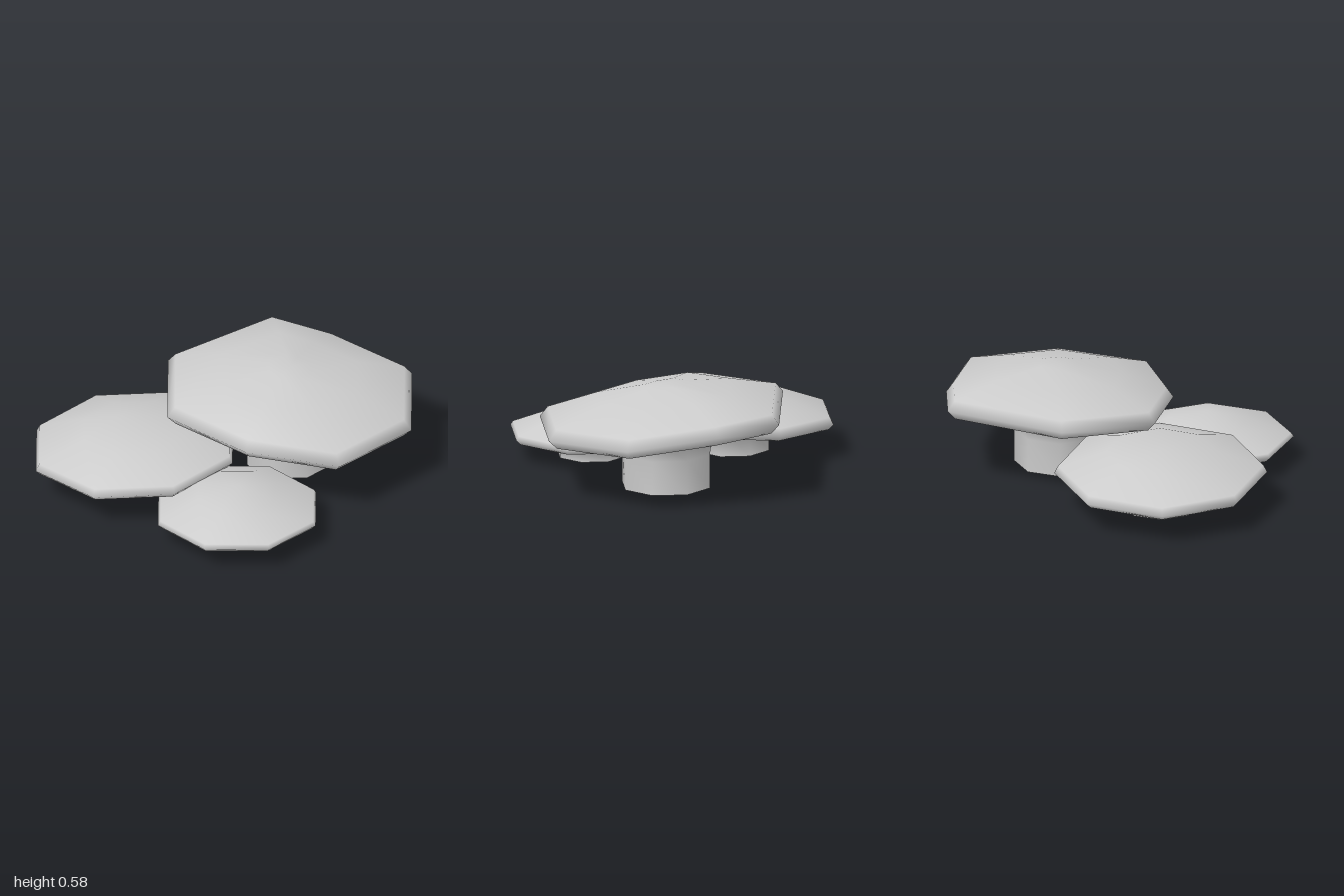
import * as THREE from 'three';
import { mergeVertices } from 'three/addons/utils/BufferGeometryUtils.js';

// Eight-sided mushroom: hollow stem, underside, rim and cap in one lathed skin.
// Points run bottom to top; rings from index capStart on lean by tiltX / tiltZ.
function mushroom(name, x, z, points, { capStart, tiltX = 0, tiltZ = 0, bend }) {
  const profile = points.map(([r, y]) => new THREE.Vector2(r, y));
  const lathe = new THREE.LatheGeometry(profile, 8);
  const pos = lathe.attributes.position;
  const v = new THREE.Vector3();
  for (let i = 0; i < pos.count; i++) {
    const ring = i % points.length;
    v.fromBufferAttribute(pos, i);
    if (ring >= capStart) {
      if (bend) bend(v, ring, points.length);
      v.y += v.x * tiltX + v.z * tiltZ;
    }
    pos.setXYZ(i, v.x, v.y, v.z);
  }
  // Weld the seam so the shading runs smoothly all around
  lathe.deleteAttribute('uv');
  lathe.deleteAttribute('normal');
  const geometry = mergeVertices(lathe, 1e-4);
  geometry.computeVertexNormals();
  const mesh = new THREE.Mesh(
    geometry,
    new THREE.MeshStandardMaterial({ color: 0xcccccc, side: THREE.DoubleSide })
  );
  mesh.name = name;
  mesh.position.set(x, 0, z);
  return mesh;
}

export function createModel() {
  const group = new THREE.Group();
  group.name = 'mushroomCluster';

  // Large mushroom: cap flattened at front and back, back-left corner pulled out
  group.add(mushroom('largeMushroom', 0.27, -0.33, [
    [0.25, 0.01], [0.25, 0.2], [0.27, 0.34],
    [0.67, 0.345], [0.72, 0.395], [0.675, 0.45],
    [0.4, 0.53], [0.12, 0.575], [0, 0.578],
  ], {
    capStart: 3, tiltX: -0.076, tiltZ: -0.03,
    bend: (v) => {
      if (Math.abs(v.x) < 0.01) v.z *= 0.86;
      else if (v.x < -0.01 && v.z < -0.01) { v.x *= 0.73; v.z *= 1.21; }
    },
  }));

  // Medium mushroom: peak shifted to one side
  group.add(mushroom('mediumMushroom', -0.42, 0.21, [
    [0.21, 0.01], [0.21, 0.17],
    [0.55, 0.175], [0.58, 0.205], [0.56, 0.245],
    [0.3, 0.33], [0, 0.382],
  ], {
    capStart: 1, tiltX: 0.055,
    bend: (v, ring, count) => { if (ring === count - 1) v.x -= 0.11; },
  }));

  // Small mushroom: upright and regular
  group.add(mushroom('smallMushroom', 0.3, 0.48, [
    [0.195, 0], [0.195, 0.09],
    [0.44, 0.105], [0.465, 0.13], [0.45, 0.152],
    [0.23, 0.238], [0, 0.28],
  ], { capStart: 1 }));

  return group;
}
